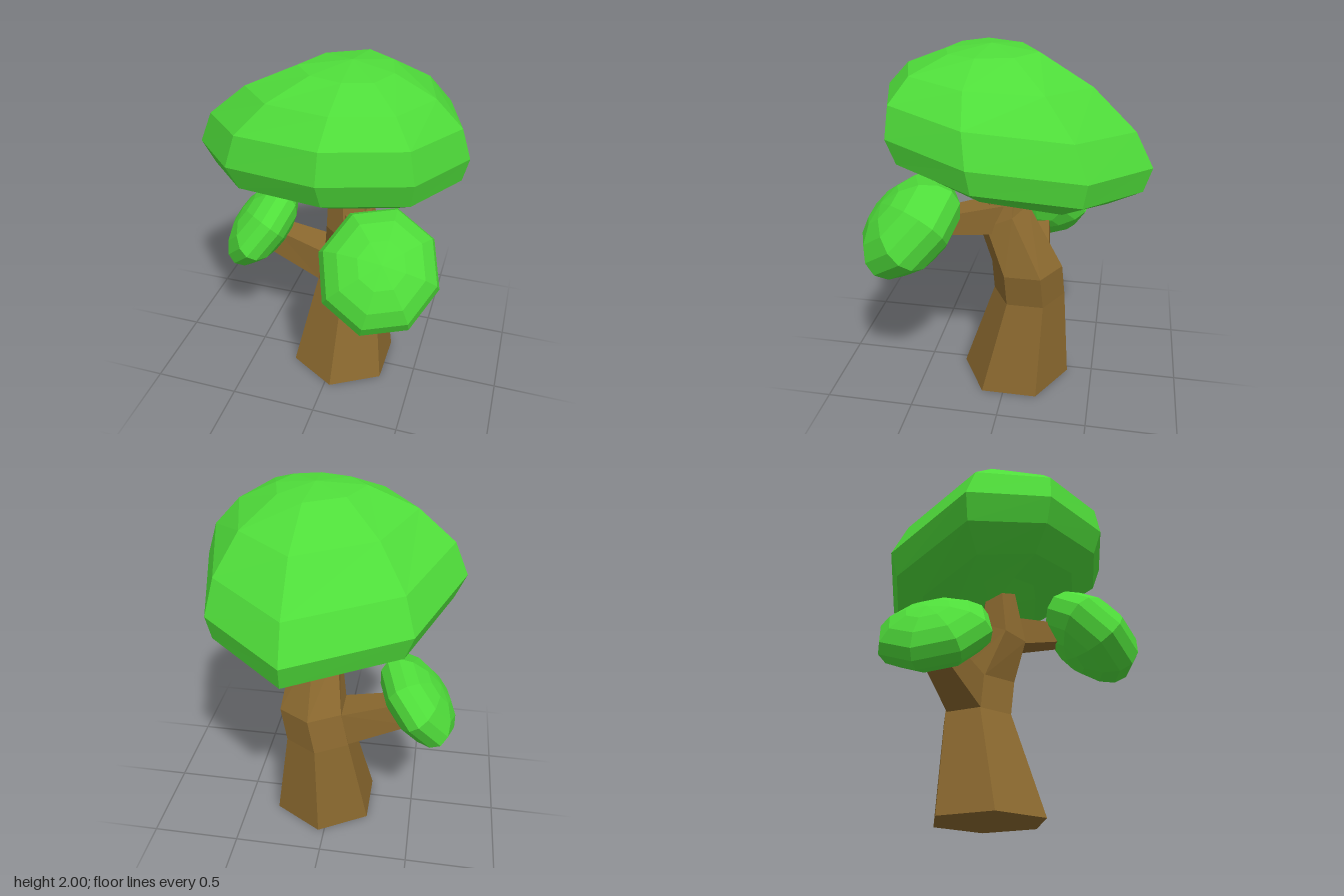
import * as THREE from 'three';

const leaf = new THREE.MeshStandardMaterial({ color: 0x4fdd3a, flatShading: true });
const bark = new THREE.MeshStandardMaterial({ color: 0x8b692f, flatShading: true });

// Skin a list of equal-sized rings (counterclockwise seen from the last ring) and cap both ends.
function loft(rings) {
  const n = rings[0].length, pos = rings.flat(2), idx = [];
  for (let r = 0; r < rings.length - 1; r++) {
    for (let j = 0; j < n; j++) {
      const a = r * n + j, b = r * n + (j + 1) % n;
      idx.push(a, b, b + n, a, b + n, a + n);
    }
  }
  const last = (rings.length - 1) * n;
  for (let j = 1; j < n - 1; j++) {
    idx.push(0, j + 1, j, last, last + j, last + j + 1);
  }
  const g = new THREE.BufferGeometry();
  g.setAttribute('position', new THREE.Float32BufferAttribute(pos, 3));
  g.setIndex(idx);
  const flat = g.toNonIndexed();
  flat.computeVertexNormals();
  return flat;
}

function add(group, name, geometry, material) {
  const mesh = new THREE.Mesh(geometry, material);
  mesh.name = name;
  group.add(mesh);
  return mesh;
}

// Hexagonal trunk: centre x, y, z, radius and forward tilt of each ring
function trunkGeometry() {
  const sections = [
    [0.035, 0, -0.035, 0.318, 0],
    [0.055, 0.57, -0.115, 0.205, 0],
    [0.095, 0.77, -0.105, 0.2, 0],
    [0.09, 1.07, 0.03, 0.14, -0.065],
    [0.06, 1.32, 0.025, 0.095, 0],
  ];
  return loft(sections.map(([x, y, z, r, tilt]) =>
    Array.from({ length: 6 }, (_, j) => {
      const a = j * Math.PI / 3;
      return [x + r * Math.sin(a), y + tilt * Math.cos(a), z + r * Math.cos(a)];
    })));
}

// Lopsided crown: one eight-cornered outline, scaled, shifted and tilted per ring
function crownGeometry() {
  const outline = [[0.09, 0.65], [0.51, 0.52], [0.7, 0.09], [0.56, -0.45],
    [0.13, -0.75], [-0.46, -0.41], [-0.7, 0.17], [-0.4, 0.52]];
  // scale, centre x, centre z, height, tilt
  const sections = [
    [0.005, 0.05, -0.03, 1.25, 0],
    [0.38, 0.05, -0.035, 1.265, 0.085],
    [0.71, 0.045, -0.04, 1.29, 0.1],
    [0.935, 0.015, -0.055, 1.375, 0.105],
    [1, 0, -0.05, 1.505, 0.105],
    [0.91, 0.015, -0.015, 1.68, 0.09],
    [0.67, 0.05, 0.04, 1.85, 0.04],
    [0.335, 0.08, 0.075, 1.97, 0],
    [0.005, 0.1, 0.08, 2, 0],
  ];
  return loft(sections.map(([s, cx, cz, y, tilt]) =>
    outline.map(([x, z]) => [
      cx + s * x,
      y + tilt * ((z + 0.05) + 0.35 * x) / 0.7,
      cz + s * (z + 0.05),
    ])));
}

// Flattened leaf clump whose short axis points along the given direction
function addClump(group, name, center, radii, direction) {
  const clump = add(group, name, new THREE.SphereGeometry(1, 8, 8), leaf);
  clump.scale.set(...radii);
  clump.position.set(...center);
  clump.quaternion.setFromUnitVectors(
    new THREE.Vector3(0, 1, 0), new THREE.Vector3(...direction).normalize());
}

export function createModel() {
  const tree = new THREE.Group();
  tree.name = 'tree';
  add(tree, 'trunk', trunkGeometry(), bark);
  add(tree, 'crown', crownGeometry(), leaf);

  // Right branch: x and y of the lower and upper edge, then z range
  const rightRing = (xb, yb, xt, yt, z0, z1) =>
    [[xb, yb, z0], [xb, yb, z1], [xt, yt, z1], [xt, yt, z0]];
  add(tree, 'rightBranch', loft([
    rightRing(-0.12, 0.57, -0.08, 0.77, -0.21, -0.01),
    rightRing(-0.48, 0.72, -0.39, 0.85, -0.17, -0.04),
  ]), bark);

  // Front branch, running forward and to the left
  const frontRing = (x, z, y0, y1, w) => {
    const dx = 0.8 * w, dz = 0.6 * w;
    return [[x - dx, y0, z + dz], [x + dx, y0, z - dz], [x + dx, y1, z - dz], [x - dx, y1, z + dz]];
  };
  add(tree, 'frontBranch', loft([
    frontRing(0.12, 0.05, 0.99, 1.16, 0.08),
    frontRing(0.3, 0.34, 1.04, 1.15, 0.055),
  ]), bark);

  addClump(tree, 'rightClump', [-0.495, 0.85, -0.095], [0.285, 0.155, 0.315], [-0.76, 0.62, 0.12]);
  addClump(tree, 'frontClump', [0.355, 1.09, 0.475], [0.31, 0.2, 0.33], [0.22, 0.7, 0.68]);
  return tree;
}
